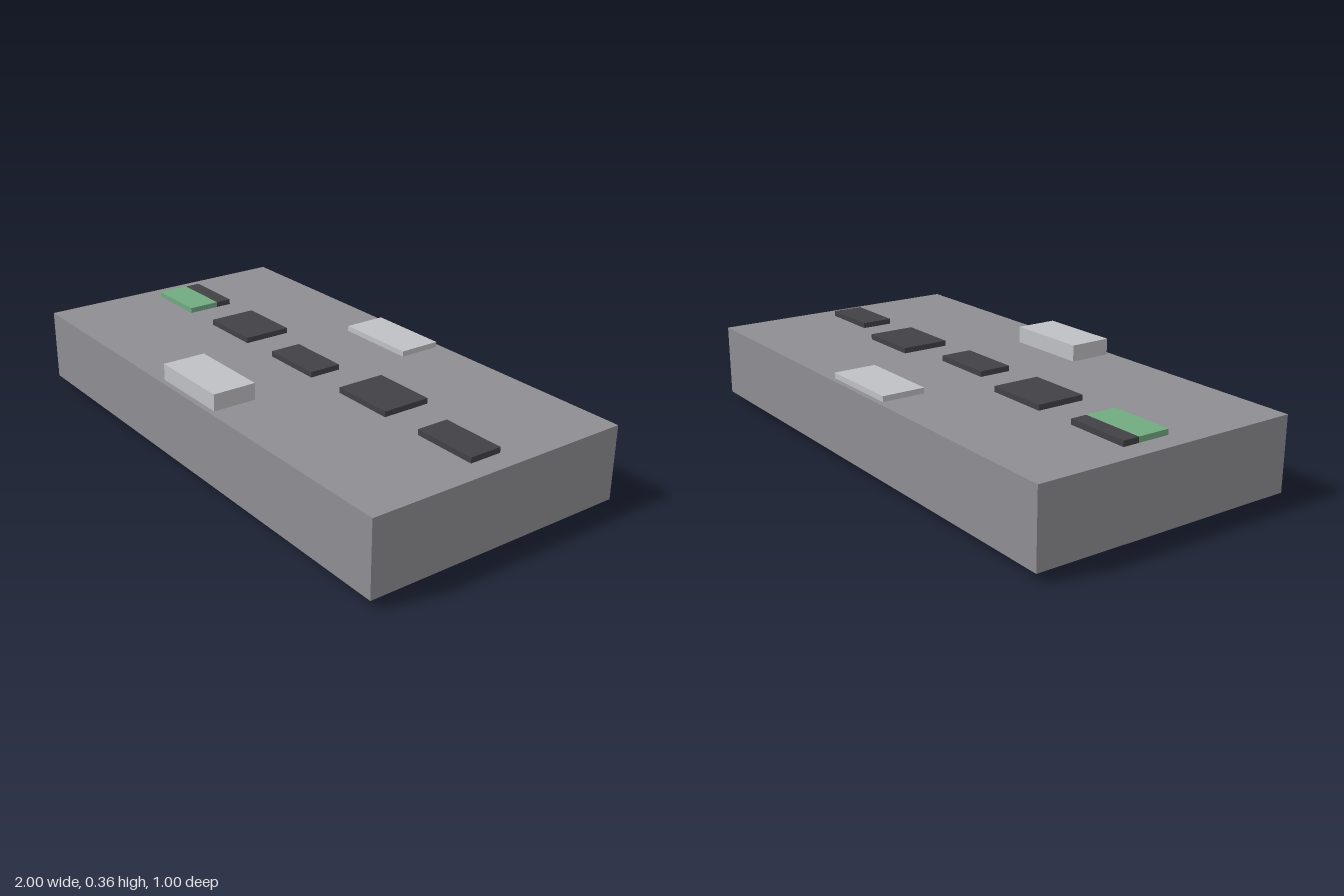
import * as THREE from 'three';

const mat = (name, color) => {
  const m = new THREE.MeshStandardMaterial({ color });
  m.name = name;
  return m;
};

export function createModel() {
  const grey = mat('mid grey', 0x8e8e93);
  const dark = mat('dark grey', 0x424146);
  const light = mat('light grey', 0xc0c1c5);
  const green = mat('light green', 0x72ab80);
  const deepGreen = mat('deep green', 0x4e805d);

  const model = new THREE.Group();
  model.name = 'slabPanel';

  // Box given by its lower and upper limits on each axis
  const box = (name, material, [x0, x1], [y0, y1], [z0, z1]) => {
    const mesh = new THREE.Mesh(new THREE.BoxGeometry(x1 - x0, y1 - y0, z1 - z0), material);
    mesh.position.set((x0 + x1) / 2, (y0 + y1) / 2, (z0 + z1) / 2);
    mesh.name = name;
    model.add(mesh);
  };

  // Main slab and the inset plate it stands on
  box('slab', grey, [-1, 1], [0.033, 0.3], [-0.5, 0.5]);
  box('basePlate', deepGreen, [-0.8, 0.8], [0, 0.033], [-0.4, 0.4]);

  // Row of raised keys, alternately short and long
  const span = (x) => [x - 0.12, x + 0.12];
  const raised = [0.3, 0.32];
  [[-0.4, -0.12], [0, -0.06], [0.4, -0.12], [0.8, -0.06]].forEach(([x, back], i) =>
    box(`key${i + 2}`, dark, span(x), raised, [back, 0.06]));

  // First key: green front with a dark strip behind
  box('key1Front', green, span(-0.8), raised, [-0.06, 0.06]);
  box('key1Back', dark, span(-0.8), raised, [-0.12, -0.06]);

  // Light blocks at the front and back edges
  box('frontBlock', light, [-0.16, 0.16], [0.3, 0.36], [0.32, 0.48]);
  box('backBlock', light, [-0.16, 0.16], raised, [-0.48, -0.32]);

  return model;
}
